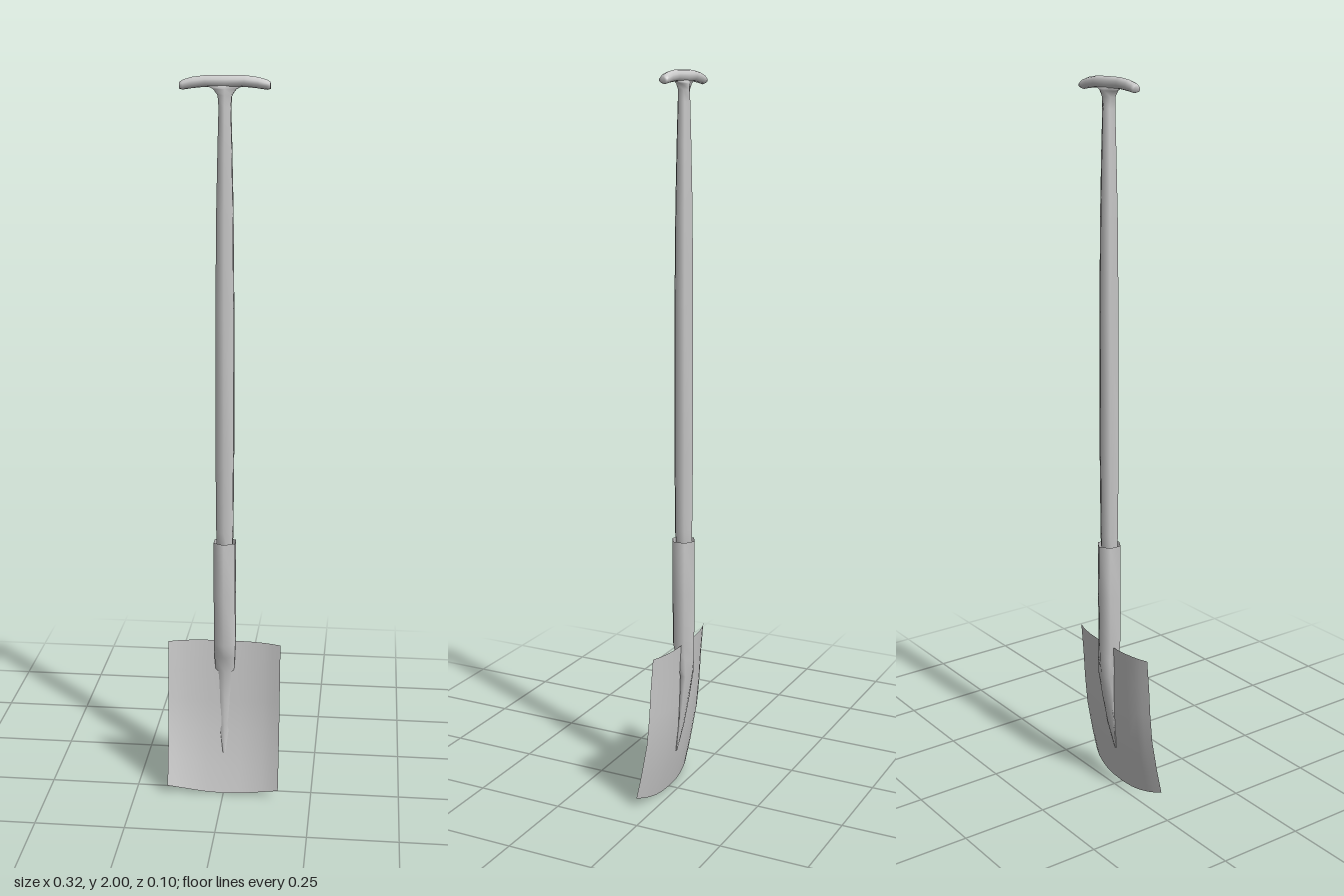
import * as THREE from 'three';

const AXIS_Z = -0.018; // the shaft sits slightly behind the centre

// Skins a list of cross-sections, each an array of [x, y, z]
function loft(name, sections, { closed = true, caps = false, open = false } = {}) {
  const n = sections[0].length;
  const pos = sections.flat(2);
  const index = [];
  const cols = closed ? n : n - 1;
  for (let i = 0; i < sections.length - 1; i++) {
    for (let j = 0; j < cols; j++) {
      const a = i * n + j, b = i * n + (j + 1) % n;
      index.push(a, b, a + n, b, b + n, a + n);
    }
  }
  if (caps) {
    const last = (sections.length - 1) * n;
    for (let j = 1; j < n - 1; j++) {
      index.push(0, j + 1, j, last, last + j, last + j + 1);
    }
  }
  const geo = new THREE.BufferGeometry();
  geo.setAttribute('position', new THREE.Float32BufferAttribute(pos, 3));
  geo.setIndex(index);
  geo.computeVertexNormals();
  const mat = new THREE.MeshStandardMaterial({
    color: 0xcccccc, side: open ? THREE.DoubleSide : THREE.FrontSide,
  });
  const mesh = new THREE.Mesh(geo, mat);
  mesh.name = name;
  return mesh;
}

// Horizontal ring around the shaft, first corner facing +z
function ring(y, zc, rx, rz, sides = 6) {
  return Array.from({ length: sides }, (_, j) => {
    const a = (j / sides) * Math.PI * 2;
    return [rx * Math.sin(a), y, zc + rz * Math.cos(a)];
  });
}

// Upright ring around the crossbar
function barRing(x, yc, ry, rz, sides = 10) {
  return Array.from({ length: sides }, (_, j) => {
    const a = (j / sides) * Math.PI * 2;
    return [x, yc + ry * Math.cos(a), AXIS_Z + rz * Math.sin(a)];
  });
}

export function createModel() {
  const spade = new THREE.Group();
  spade.name = 'spade';

  // Six-sided shaft, thickest in the middle
  const shaft = [[0.66, 0.023], [0.78, 0.026], [1.0, 0.028], [1.4, 0.0275],
    [1.65, 0.025], [1.82, 0.021], [1.92, 0.018]];
  const shaftRings = shaft.map(([y, r]) => ring(y, AXIS_Z, r, r));
  // neck flaring sideways into the grip
  shaftRings.push(ring(1.95, AXIS_Z, 0.021, 0.016), ring(1.965, AXIS_Z, 0.034, 0.015),
    ring(1.976, AXIS_Z, 0.062, 0.011));
  spade.add(loft('shaft', shaftRings, { caps: true }));

  // Crossbar grip with drooping rounded ends
  const half = [[0.117, 1.974, 0.0085, 0.0115], [0.108, 1.976, 0.0125, 0.0135],
    [0.085, 1.981, 0.014, 0.0135], [0.05, 1.985, 0.0145, 0.0145]];
  const grip = [...half.map(([x, ...r]) => barRing(-x, ...r)),
    barRing(0, 1.984, 0.016, 0.016),
    ...half.slice().reverse().map(([x, ...r]) => barRing(x, ...r))];
  spade.add(loft('grip', grip, { caps: true }));

  // Socket: open at the top, melting into a ridge behind the blade
  const socket = [[0.12, 0.004, 0.004, 0.002], [0.2, -0.011, 0.016, 0.005],
    [0.28, -0.021, 0.024, 0.010], [0.36, -0.029, 0.030, 0.016],
    [0.41, -0.023, 0.033, 0.027], [0.45, -0.018, 0.034, 0.033],
    [0.6, AXIS_Z, 0.034, 0.034], [0.75, AXIS_Z, 0.034, 0.034]];
  spade.add(loft('socket', socket.map((s) => ring(...s)), { open: true }));

  // Blade: thin sheet dished across its width and curling forward at the bottom
  const HALF = 0.158;
  const edge = [[0, 0.05], [0.17, 0.034], [0.4, 0.016], [0.6, 0.008], [0.8, 0.003], [1, -0.004]];
  const columns = [-1, -0.85, -0.7, -0.5, -0.3, 0, 0.3, 0.5, 0.7, 0.85, 1];
  const blade = edge.map(([t, z]) => columns.map((u) => {
    const bottom = 0.003 + 0.027 * u * u;
    return [u * HALF, THREE.MathUtils.lerp(bottom, 0.452, t),
      z - 0.022 * (1 - Math.abs(u) ** 3)];
  }));
  spade.add(loft('blade', blade, { closed: false, open: true }));

  return spade;
}
